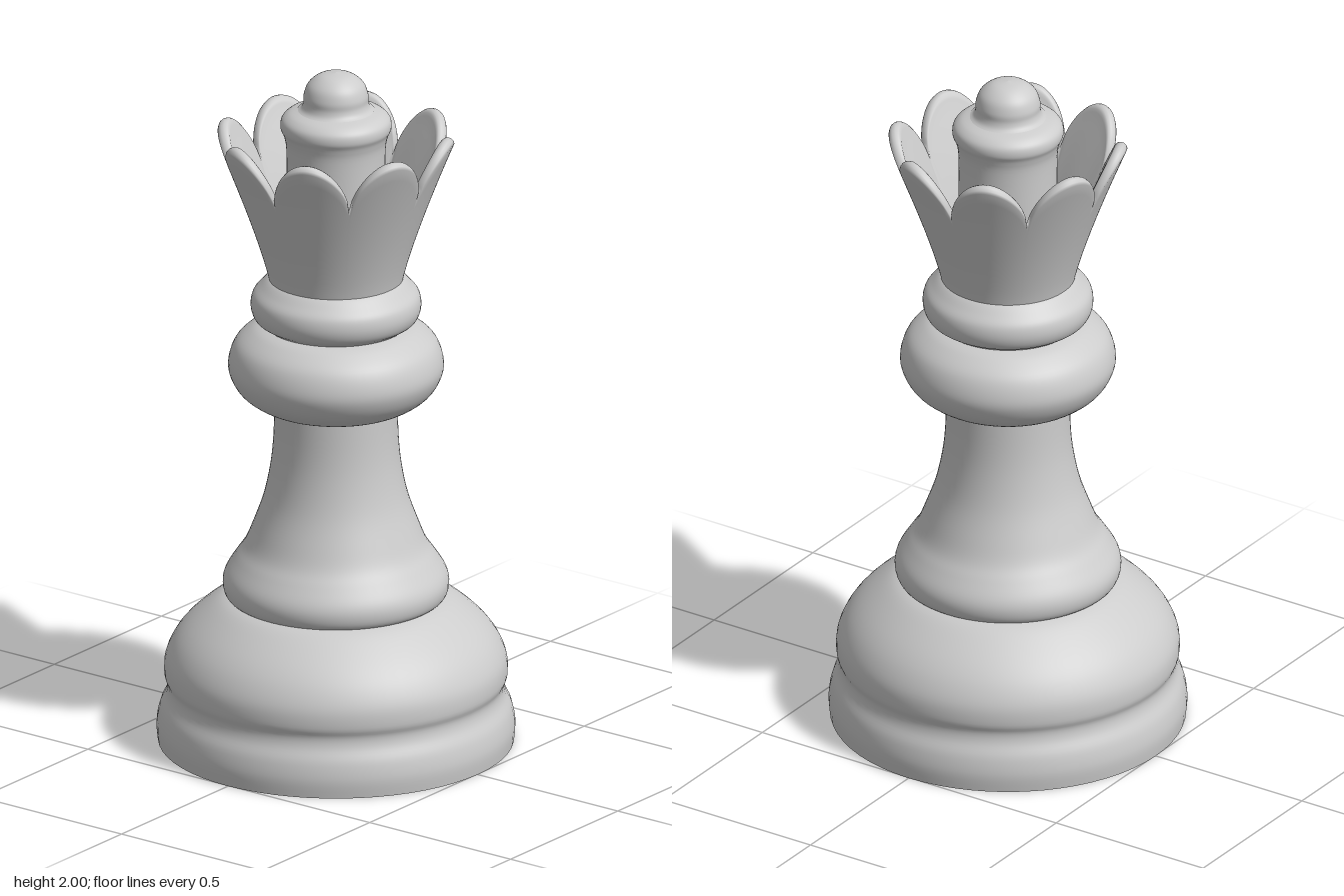
import * as THREE from 'three';

const ivory = new THREE.MeshStandardMaterial({ color: 0xcccccc });
ivory.name = 'pale grey';

const SEGMENTS = 64;

// Smooth turned part from a few [radius, height] points, listed bottom to top
function turned(name, points, samples) {
  const curve = new THREE.SplineCurve(points.map(([r, y]) => new THREE.Vector2(r, y)));
  const profile = curve.getPoints(samples);
  profile.forEach((p) => { p.x = Math.max(p.x, 0); });
  const mesh = new THREE.Mesh(new THREE.LatheGeometry(profile, SEGMENTS), ivory);
  mesh.name = name;
  return mesh;
}

// Flared cup whose rim is cut into eight rounded petals
function crownGeometry() {
  const N = 256, OUT = 12, BASE = 1.36, FLOOR = 1.5;
  const flare = (y) => 0.185 + 0.16 * Math.pow(Math.max(0, (y - BASE) / 0.46), 1.2);
  const section = (angle) => {
    const u = Math.abs(Math.sin(4 * angle));
    const top = 1.68 + 0.15 * Math.pow(u, 0.6);
    const thick = 0.022 + 0.016 * u;
    const shoulder = top - thick * 0.5;
    const rows = [];
    // outside wall
    for (let i = 0; i <= OUT; i++) {
      const y = BASE + (shoulder - BASE) * (i / OUT);
      rows.push([flare(y), y]);
    }
    // rounded lip
    for (let i = 1; i < 6; i++) {
      const a = (Math.PI * i) / 6;
      rows.push([flare(shoulder) - thick / 2 + (thick / 2) * Math.cos(a), shoulder + (thick / 2) * Math.sin(a)]);
    }
    // inside wall and floor
    for (let i = 0; i <= 8; i++) {
      const y = shoulder + (FLOOR - shoulder) * (i / 8);
      rows.push([flare(y) - thick - 0.012 * (i / 8), y]);
    }
    rows.push([0.15, FLOOR - 0.02], [0.1, FLOOR - 0.025]);
    return rows;
  };

  const positions = [], index = [];
  let count = 0;
  for (let j = 0; j < N; j++) {
    const angle = (j / N) * Math.PI * 2;
    const rows = section(angle);
    count = rows.length;
    for (const [r, y] of rows) positions.push(r * Math.sin(angle), y, r * Math.cos(angle));
  }
  for (let j = 0; j < N; j++) {
    const k = (j + 1) % N;
    for (let i = 0; i < count - 1; i++) {
      const a = j * count + i, b = k * count + i;
      index.push(a, b, b + 1, a, b + 1, a + 1);
    }
  }
  const geometry = new THREE.BufferGeometry();
  geometry.setAttribute('position', new THREE.Float32BufferAttribute(positions, 3));
  geometry.setIndex(index);
  geometry.computeVertexNormals();
  return geometry;
}

export function createModel() {
  const model = new THREE.Group();
  model.name = 'chessQueen';

  // Flat underside
  const underside = new THREE.Mesh(new THREE.CircleGeometry(0.503, SEGMENTS), ivory);
  underside.name = 'underside';
  underside.rotation.x = Math.PI / 2;
  model.add(underside);

  // Foot and domed base
  model.add(turned('base', [
    [0.503, 0], [0.507, 0.05], [0.498, 0.1], [0.48, 0.14], [0.476, 0.17], [0.485, 0.2],
    [0.482, 0.25], [0.46, 0.3], [0.425, 0.345], [0.375, 0.39], [0.325, 0.425], [0.28, 0.44],
  ], 48));

  // Ring above the base running into the tapered stem
  model.add(turned('stem', [
    [0.28, 0.425], [0.31, 0.438], [0.32, 0.47], [0.313, 0.505], [0.285, 0.55], [0.258, 0.59],
    [0.235, 0.645], [0.205, 0.73], [0.186, 0.82], [0.177, 0.91], [0.174, 1.03],
  ], 48));

  // Wide collar
  model.add(turned('collar', [
    [0.16, 1.005], [0.215, 1.012], [0.272, 1.05], [0.301, 1.1], [0.303, 1.145],
    [0.283, 1.195], [0.24, 1.232], [0.205, 1.247], [0.18, 1.25],
  ], 40));

  // Narrow upper ring
  model.add(turned('upperRing', [
    [0.19, 1.235], [0.205, 1.25], [0.23, 1.268], [0.241, 1.3], [0.236, 1.335],
    [0.214, 1.362], [0.19, 1.385], [0.17, 1.39],
  ], 36));

  // Petalled crown
  const crown = new THREE.Mesh(crownGeometry(), ivory);
  crown.name = 'crown';
  model.add(crown);

  // Central column with lip and ball on top
  model.add(turned('column', [
    [0.142, 1.45], [0.14, 1.6], [0.14, 1.76], [0.147, 1.81], [0.157, 1.835],
    [0.154, 1.86], [0.135, 1.878], [0.108, 1.888],
  ], 36));
  model.add(turned('finial', [
    [0.12, 1.88], [0.1, 1.892], [0.092, 1.91], [0.091, 1.935], [0.078, 1.967], [0.045, 1.992], [0, 2],
  ], 28));

  return model;
}
